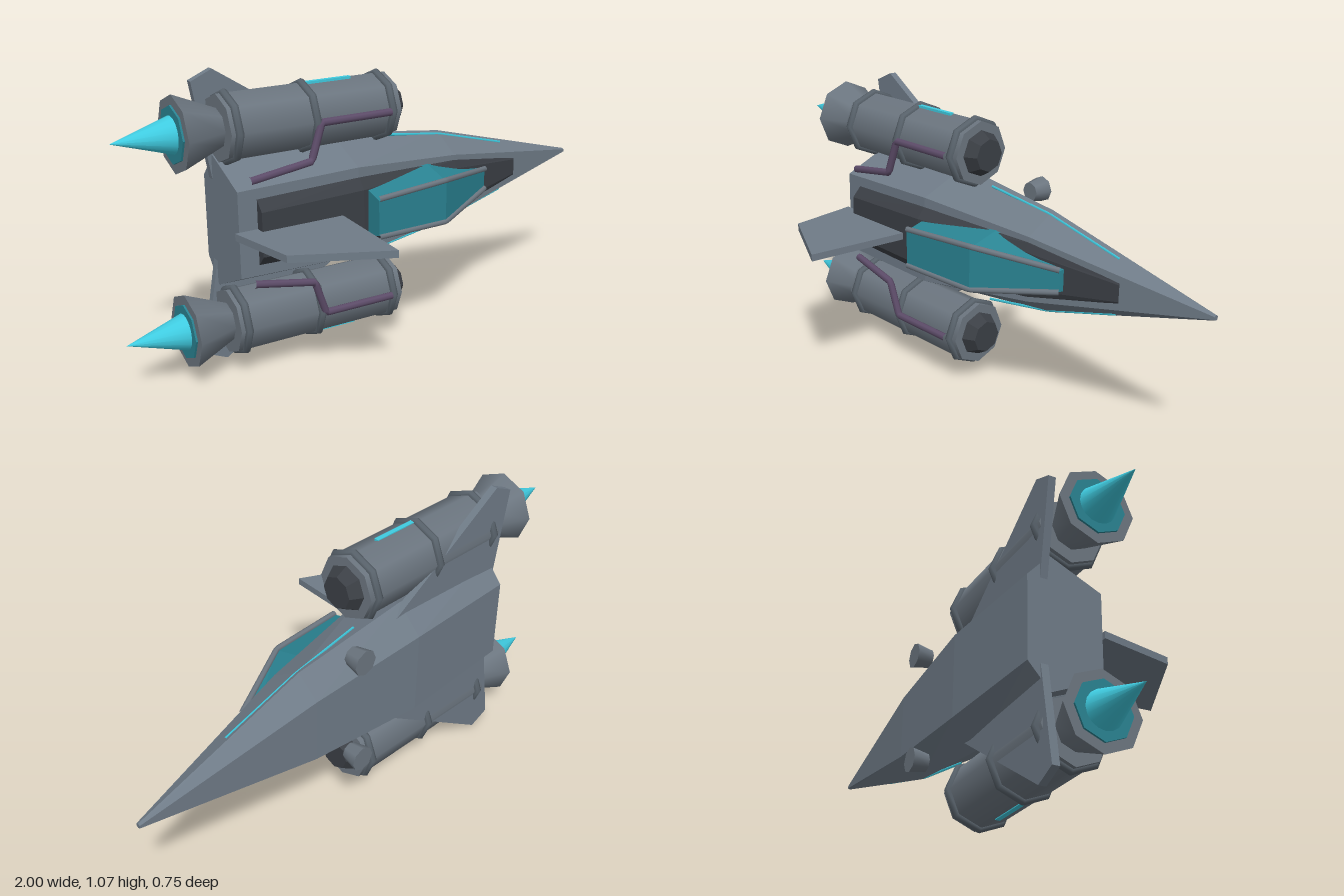
import * as THREE from 'three';

const V = (x, y, z) => new THREE.Vector3(x, y, z);
const mat = (name, color, flat = false) => {
  const m = new THREE.MeshStandardMaterial({ color, flatShading: flat });
  m.name = name;
  return m;
};

// Loft of mirrored cross-sections along x; each section is [x, [[halfWidth, z], ...]] from belly to top
function loft(sections) {
  const rings = sections.map(([x, half]) => [
    ...half.map(([w, z]) => V(x, w, z)),
    ...half.slice().reverse().map(([w, z]) => V(x, -w, z)),
  ]);
  const pts = [];
  const n = rings[0].length;
  for (let r = 0; r < rings.length - 1; r++) {
    const a = rings[r], b = rings[r + 1];
    for (let i = 0; i < n; i++) {
      const j = (i + 1) % n;
      pts.push(a[i], a[j], b[i], a[j], b[j], b[i]);
    }
  }
  const first = rings[0], last = rings[rings.length - 1];
  for (let i = 1; i < n - 1; i++) {
    pts.push(first[0], first[i + 1], first[i]);
    pts.push(last[0], last[i], last[i + 1]);
  }
  const g = new THREE.BufferGeometry().setFromPoints(pts);
  g.computeVertexNormals();
  return g;
}

// Straight-segmented pipe through points
function pipe(points, radius, sides = 8) {
  const path = new THREE.CurvePath();
  for (let i = 0; i < points.length - 1; i++) path.add(new THREE.LineCurve3(points[i], points[i + 1]));
  return new THREE.TubeGeometry(path, 40, radius, sides);
}

// Eight-sided cylinder along x from x0 to x1
function barrel(x0, x1, r0, r1, open = false) {
  return new THREE.CylinderGeometry(r1, r0, x1 - x0, 8, 1, open)
    .rotateZ(-Math.PI / 2).translate((x0 + x1) / 2, 0, 0);
}

// Flat plate centred on its own plane
function plate(points, thickness) {
  const shape = new THREE.Shape(points.map(([x, y]) => new THREE.Vector2(x, y)));
  return new THREE.ExtrudeGeometry(shape, { depth: thickness, bevelEnabled: false })
    .translate(0, 0, -thickness / 2);
}

export function createModel() {
  const hullGrey = mat('hull grey', 0x6f7b87, true);
  const engineGrey = mat('engine grey', 0x6c7680);
  const ringGrey = mat('ring grey', 0x59636c);
  const dark = mat('dark panel', 0x3b3f45, true);
  const teal = mat('canopy glass', 0x2a8392, true);
  const cyan = mat('cyan glow', 0x3fcbe0);
  const purple = mat('purple pipe', 0x5d4c69);

  const model = new THREE.Group();
  model.name = 'starfighter';
  const ship = new THREE.Group();
  ship.name = 'ship';
  ship.position.y = 0.535;
  model.add(ship);
  const add = (name, geo, material, parent = ship) => {
    const m = new THREE.Mesh(geo, material);
    m.name = name;
    parent.add(m);
    return m;
  };

  // Hull: flat belly, side edge, flat back, tapering to the nose
  add('hull', loft([
    [-0.62, [[0.15, -0.33], [0.24, -0.25], [0.155, -0.06]]],
    [-0.15, [[0.155, -0.353], [0.25, -0.255], [0.165, -0.06]]],
    [0.32, [[0.12, -0.338], [0.192, -0.252], [0.12, -0.135]]],
    [1, [[0.005, -0.293], [0.009, -0.285], [0.005, -0.277]]],
  ]), hullGrey);

  // Dark raised back panel
  add('backPanel', loft([
    [-0.55, [[0.118, -0.09], [0.118, -0.06], [0.08, -0.025]]],
    [-0.15, [[0.128, -0.09], [0.128, -0.055], [0.09, -0.025]]],
    [0.32, [[0.1, -0.16], [0.1, -0.13], [0.07, -0.118]]],
    [0.67, [[0.037, -0.23], [0.037, -0.209], [0.03, -0.205]]],
  ]), dark);

  // Cockpit canopy
  add('canopy', loft([
    [-0.13, [[0.1, -0.08], [0.065, 0.043]]],
    [0.18, [[0.115, -0.12], [0.075, 0.013]]],
    [0.47, [[0.045, -0.2], [0.038, -0.138]]],
  ]), teal);

  // Tail fin standing on the back
  add('tailFin', plate([[-0.635, -0.06], [-0.235, -0.06], [-0.262, 0.372], [-0.585, 0.215]], 0.026)
    .rotateX(Math.PI / 2), hullGrey);

  for (const s of [1, -1]) {
    const side = new THREE.Group();
    side.name = s > 0 ? 'upperSide' : 'lowerSide';
    ship.add(side);

    // Canopy rail
    add('canopyRail', pipe([V(-0.13, s * 0.07, 0.04), V(0.18, s * 0.08, 0.01), V(0.47, s * 0.04, -0.137)], 0.011),
      engineGrey, side);

    // Swept wing fin
    const fin = [[-0.62, 0.15], [-0.08, 0.2], [-0.6, 0.535], [-0.68, 0.5]].map(([x, y]) => [x, y * s]);
    add('wingFin', plate(fin, 0.027).translate(0, 0, -0.271), hullGrey, side);

    // Belly thruster
    add('bellyThruster', new THREE.CylinderGeometry(0.034, 0.047, 0.063, 8)
      .rotateX(Math.PI / 2).translate(0.14, s * 0.205, -0.3465), engineGrey, side);

    // Glowing hull stripe
    add('hullStripe', pipe([V(0.04, s * 0.221, -0.222), V(0.32, s * 0.181, -0.236), V(0.63, s * 0.099, -0.25)],
      0.005, 4), cyan, side);

    // Engine
    const engine = new THREE.Group();
    engine.name = 'engine';
    engine.position.set(0, s * 0.351, -0.174);
    side.add(engine);
    add('engineBody', barrel(-0.63, 0.03, 0.118, 0.118), engineGrey, engine);
    add('intake', barrel(0.03, 0.074, 0.085, 0.06), dark, engine);
    add('nozzle', barrel(-0.785, -0.63, 0.135, 0.07), engineGrey, engine);
    add('nozzleGlow', barrel(-0.792, -0.784, 0.1, 0.1), teal, engine);
    add('flame', new THREE.ConeGeometry(0.066, 0.21, 16).rotateZ(Math.PI / 2).translate(-0.895, 0, 0), cyan, engine);
    for (const x of [-0.6, -0.31, -0.005])
      add('engineRing', new THREE.TorusGeometry(0.118, 0.015, 8, 8).rotateY(Math.PI / 2).translate(x, 0, 0),
        ringGrey, engine);
    add('engineStripe', new THREE.BoxGeometry(0.18, 0.009, 0.018).translate(-0.21, s * 0.117, 0.009), cyan, engine);

    // Fuel pipe from the engine to the hull
    add('fuelPipe', pipe([V(-0.02, s * 0.351, -0.05), V(-0.3, s * 0.351, -0.05),
      V(-0.345, s * 0.222, -0.045), V(-0.57, s * 0.185, -0.06)], 0.014), purple, side);
  }
  return model;
}
